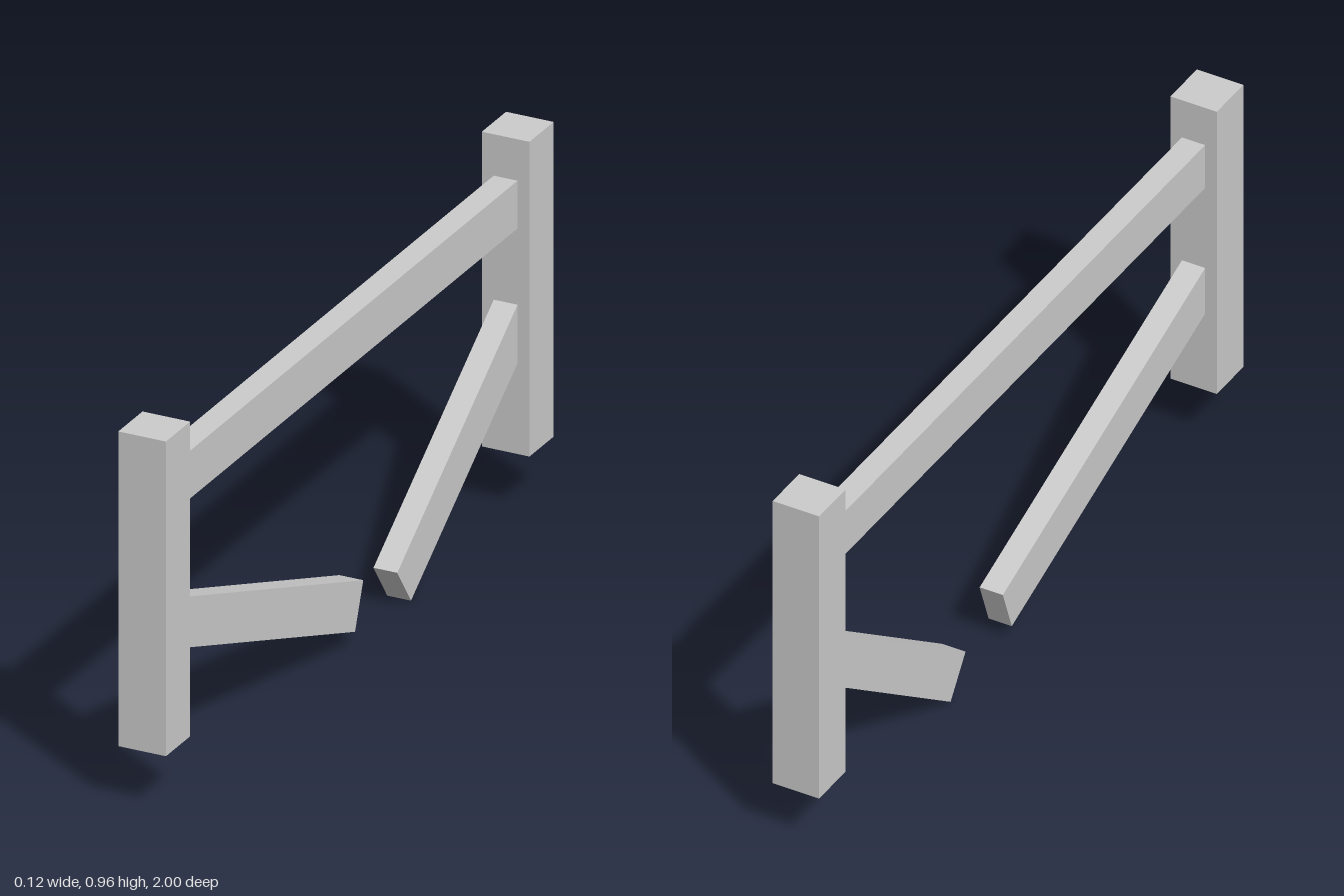
import * as THREE from 'three';

const material = new THREE.MeshStandardMaterial({ color: 0xcccccc, flatShading: true });
const POST = 0.125, RAIL_WIDTH = 0.0625, RAIL_HEIGHT = 0.123;
const POST_Z = 1 - POST / 2;

// Square beam in the x = 0 plane between two [z, y] points on its centre line
function beam(name, [z0, y0], [z1, y1], width, height) {
  const length = Math.hypot(z1 - z0, y1 - y0);
  const mesh = new THREE.Mesh(new THREE.BoxGeometry(width, height, length), material);
  mesh.name = name;
  mesh.position.set(0, (y0 + y1) / 2, (z0 + z1) / 2);
  mesh.rotation.x = Math.atan2(y0 - y1, z1 - z0);
  return mesh;
}

export function createModel() {
  const fence = new THREE.Group();
  fence.name = 'brokenFence';

  // Upright posts
  for (const [name, side] of [['frontPost', 1], ['backPost', -1]]) {
    const z = side * POST_Z;
    fence.add(beam(name, [z, 0.153], [z, 0.963], POST, POST));
  }

  // Intact upper rail, seated in both posts
  fence.add(beam('topRail', [-POST_Z, 0.795], [POST_Z, 0.795], RAIL_WIDTH, RAIL_HEIGHT));

  // Two halves of the snapped lower rail, sagging from the posts
  fence.add(beam('frontBrokenRail', [-0.058, 0.098], [POST_Z, 0.461], RAIL_WIDTH, RAIL_HEIGHT));
  fence.add(beam('backBrokenRail', [-0.29, 0.052], [-POST_Z, 0.506], RAIL_WIDTH, RAIL_HEIGHT));

  return fence;
}
